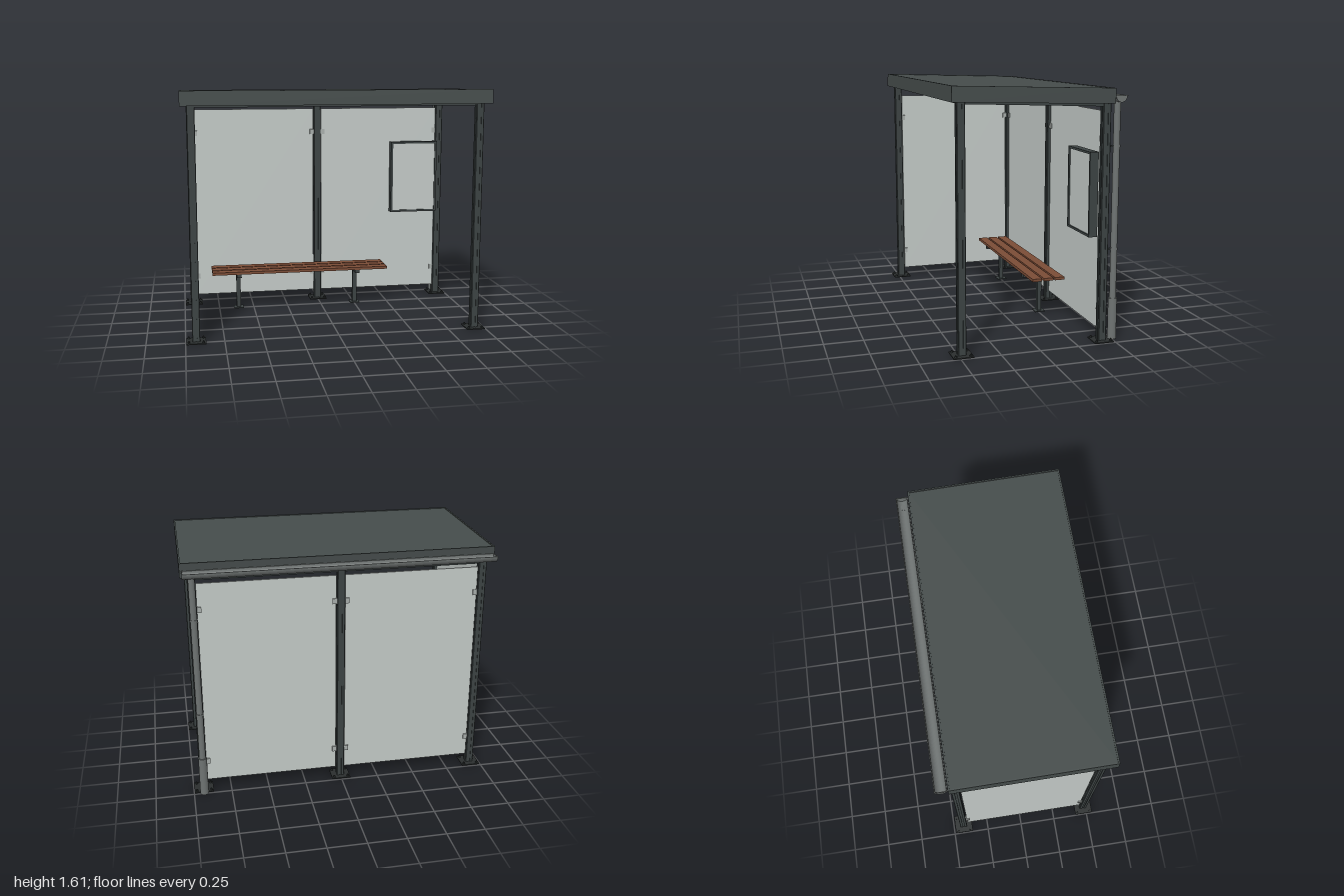
import * as THREE from 'three';

const mat = (name, color, side = THREE.FrontSide) => {
  const m = new THREE.MeshStandardMaterial({ color, side });
  m.name = name;
  return m;
};

export function createModel() {
  const roofPaint = mat('roof grey', 0x454c4b);
  const framePaint = mat('frame grey', 0x3c4343);
  const plateDark = mat('base plate dark', 0x2a2e2e);
  const glass = mat('frosted glass', 0xc3cac7);
  const clampSteel = mat('clamp steel', 0xa9afac);
  const zinc = mat('zinc grey', 0x6e7372, THREE.DoubleSide);
  const wood = mat('bench wood', 0x7a4c36);

  const model = new THREE.Group();
  model.name = 'busShelter';

  const add = (parent, name, geo, material, x = 0, y = 0, z = 0) => {
    const m = new THREE.Mesh(geo, material);
    m.name = name;
    m.position.set(x, y, z);
    parent.add(m);
    return m;
  };
  const box = (parent, name, material, w, h, d, x, y, z) =>
    add(parent, name, new THREE.BoxGeometry(w, h, d), material, x, y, z);
  const cyl = (parent, name, material, r, h, x, y, z, n = 20) =>
    add(parent, name, new THREE.CylinderGeometry(r, r, h, n), material, x, y, z);

  const PX = 0.932, FZ = 0.48, BZ = -0.427;

  // Post section: square tube with a shallow groove down each side
  const section = new THREE.Shape();
  const side = [[-0.025, -0.022], [-0.022, -0.025], [-0.006, -0.025], [-0.006, -0.021],
    [0.006, -0.021], [0.006, -0.025], [0.022, -0.025]];
  const outline = [];
  for (let k = 0; k < 4; k++) {
    const c = Math.round(Math.cos(k * Math.PI / 2)), s = Math.round(Math.sin(k * Math.PI / 2));
    side.slice(1).forEach(([x, y]) => outline.push(new THREE.Vector2(c * x - s * y, s * x + c * y)));
  }
  section.setFromPoints(outline);

  // Posts with bolted base plates
  const post = (name, x, z, top) => {
    const g = new THREE.Group();
    g.name = name;
    g.position.set(x, 0, z);
    model.add(g);
    const geo = new THREE.ExtrudeGeometry(section, { depth: top, bevelEnabled: false });
    geo.rotateX(-Math.PI / 2);
    add(g, 'postTube', geo, framePaint);
    box(g, 'basePlate', plateDark, 0.126, 0.007, 0.126, 0, 0.0035, 0);
    for (const sx of [-1, 1]) for (const sz of [-1, 1]) {
      cyl(g, 'boltNut', plateDark, 0.009, 0.007, sx * 0.047, 0.0105, sz * 0.047, 6);
      cyl(g, 'boltStud', plateDark, 0.005, 0.014, sx * 0.047, 0.014, sz * 0.047, 8);
    }
  };
  for (const s of [-1, 1]) post('frontPost', s * PX, FZ, 1.54);
  for (const s of [-1, 0, 1]) post('backPost', s * PX, BZ, 1.5);

  // Beams joining the post tops
  box(model, 'frontBeam', framePaint, 2 * PX, 0.035, 0.045, 0, 1.52, FZ);
  box(model, 'backBeam', framePaint, 2 * PX, 0.035, 0.045, 0, 1.485, BZ);
  for (const s of [-1, 1]) {
    const b = box(model, 'sideBeam', framePaint, 0.045, 0.035, 0.91, s * PX, 1.502, 0.027);
    b.rotation.x = -0.035;
  }

  // Sloping roof tray: sheet inside a fascia rim
  const roof = new THREE.Group();
  roof.name = 'roof';
  roof.position.set(0, 1.547, 0.042);
  roof.rotation.x = -0.027;
  model.add(roof);
  box(roof, 'roofSheet', roofPaint, 1.985, 0.03, 0.99, 0, 0.026, 0);
  for (const s of [-1, 1]) {
    box(roof, 'longFascia', roofPaint, 2, 0.093, 0.01, 0, 0, s * 0.498);
    box(roof, 'endFascia', roofPaint, 0.01, 0.093, 0.986, s * 0.995, 0, 0);
  }

  // Glass panels and their clamps
  const GH = 1.375, GY = 0.7525;
  for (const s of [-1, 1]) {
    box(model, 'backGlass', glass, 0.876, GH, 0.01, s * 0.468, GY, BZ);
    for (const y of [0.207, 1.27]) for (const x of [0.04, 0.895])
      box(model, 'glassClamp', clampSteel, 0.03, 0.036, 0.028, s * x, y, BZ);
  }
  box(model, 'sideGlass', glass, 0.01, GH, 0.845, -PX, GY, 0.0275);
  for (const y of [0.207, 1.27]) for (const z of [0.443, -0.388])
    box(model, 'glassClamp', clampSteel, 0.028, 0.036, 0.028, -PX, y, z);

  // Display case on the back wall
  const display = new THREE.Group();
  display.name = 'displayCase';
  display.position.set(0.726, 0.925, -0.373);
  model.add(display);
  box(display, 'caseBack', framePaint, 0.34, 0.52, 0.04, 0, 0, -0.006);
  box(display, 'casePane', glass, 0.322, 0.502, 0.004, 0, 0, 0.017);
  for (const s of [-1, 1]) {
    box(display, 'caseUpright', framePaint, 0.015, 0.53, 0.056, s * 0.1685, 0, 0);
    box(display, 'caseRail', framePaint, 0.33, 0.014, 0.056, 0, s * 0.258, 0);
  }

  // Bench: three slats on two pedestals
  const bench = new THREE.Group();
  bench.name = 'bench';
  model.add(bench);
  for (const z of [-0.169, -0.249, -0.329])
    box(bench, 'slat', wood, 1.275, 0.019, 0.066, -0.1625, 0.284, z);
  for (const x of [-0.61, 0.255]) {
    box(bench, 'benchLeg', framePaint, 0.03, 0.25, 0.028, x, 0.125, -0.26);
    box(bench, 'benchBracket', framePaint, 0.034, 0.023, 0.232, x, 0.262, -0.256);
    box(bench, 'benchFoot', framePaint, 0.07, 0.006, 0.072, x, 0.003, -0.26);
  }

  // Open gutter along the low edge
  const pts = [];
  for (let i = 0; i <= 16; i++) {
    const a = Math.PI + Math.PI * i / 16;
    pts.push(new THREE.Vector2(Math.cos(a) * 0.034, Math.sin(a) * 0.038));
  }
  const trough = new THREE.Shape([new THREE.Vector2(-0.04, 0), ...pts, new THREE.Vector2(0.04, 0),
    new THREE.Vector2(0.04, -0.006), new THREE.Vector2(0.036, -0.006),
    ...pts.map(p => new THREE.Vector2(p.x * 1.08, p.y * 1.1)).reverse().slice(1, -1),
    new THREE.Vector2(-0.036, -0.006), new THREE.Vector2(-0.04, -0.006)]);
  const gutterGeo = new THREE.ExtrudeGeometry(trough, { depth: 1.98, bevelEnabled: false });
  gutterGeo.rotateY(Math.PI / 2);
  add(model, 'gutter', gutterGeo, zinc, -0.993, 1.535, -0.505);
  const cap = new THREE.ExtrudeGeometry(new THREE.Shape(pts), { depth: 0.005, bevelEnabled: false });
  cap.rotateY(Math.PI / 2);
  for (const x of [-0.993, 0.982]) add(model, 'gutterEnd', cap, zinc, x, 1.535, -0.505);

  // Downpipe with sleeve, collar and wall straps
  const DX = 0.932, DZ = -0.502;
  cyl(model, 'downpipe', zinc, 0.021, 1.49, DX, 0.755, DZ);
  cyl(model, 'pipeSleeve', zinc, 0.028, 0.265, DX, 0.1385, DZ);
  for (const y of [0.587, 1.227]) {
    cyl(model, 'pipeStrap', zinc, 0.0245, 0.014, DX, y, DZ);
    box(model, 'strapArm', framePaint, 0.012, 0.01, 0.04, DX, y, -0.464);
  }
  return model;
}
